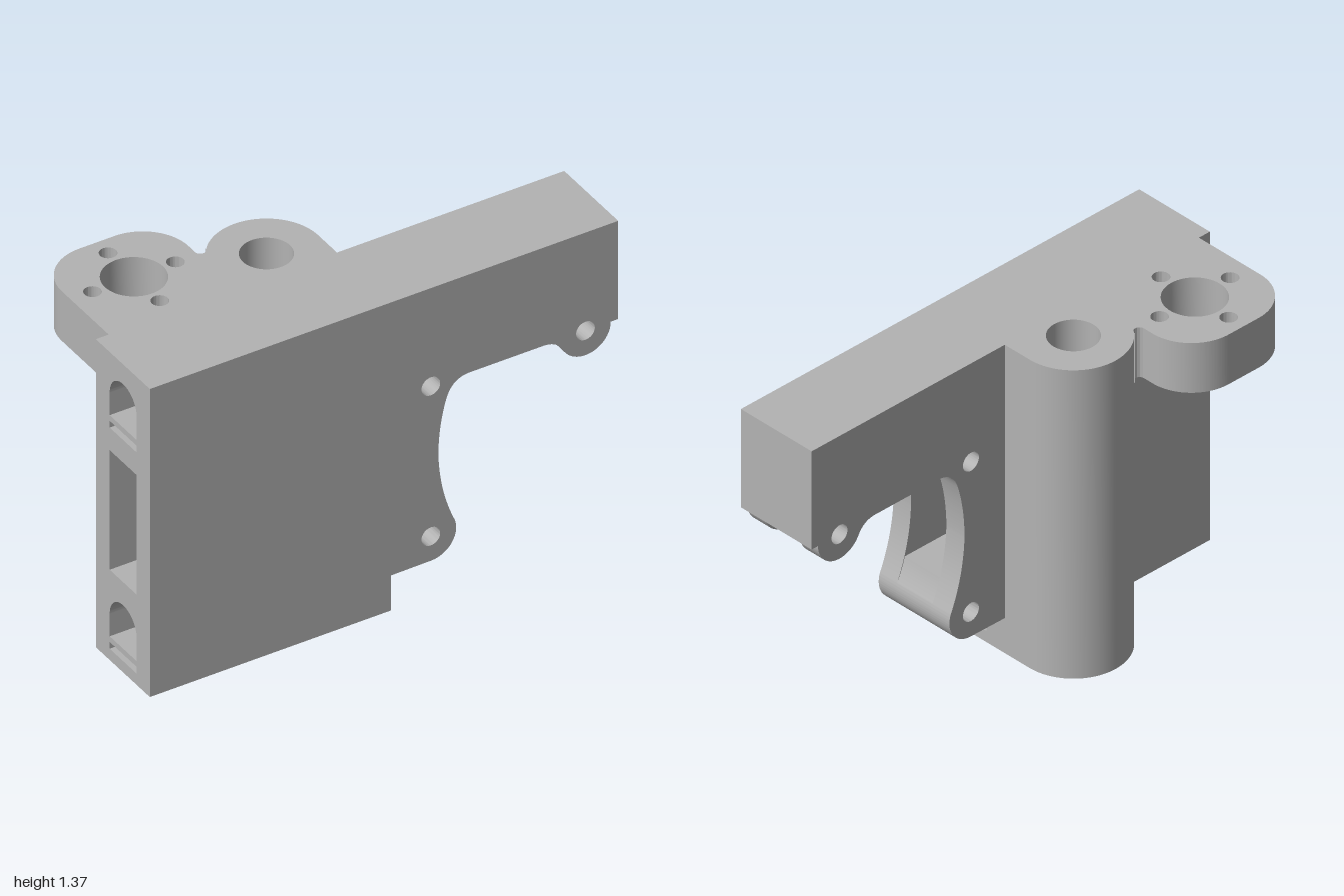
import * as THREE from 'three';
import { toCreasedNormals } from 'three/addons/utils/BufferGeometryUtils.js';

const H = 1.365;                       // overall height
const BACK = 0.07, FRONT = 0.44;       // body depth range
const S0 = 0.165, S1 = 0.35;           // inner channel depth range
const SIDE = 0.03;                     // right end of the body block
const BEAM = 0.93;                     // underside of the upper beam
const PIN = 0.04, LUG = 0.108;         // pin hole and lug radii

function addHole(shape, x, y, r) {
  const p = new THREE.Path();
  p.absarc(x, y, r, 0, Math.PI * 2, true);
  shape.holes.push(p);
}

function polygon(points) {
  return new THREE.Shape(points.map(([x, y]) => new THREE.Vector2(x, y)));
}

// Side plate outline with clamp lugs and the concave cut-out
function plateShape() {
  const s = new THREE.Shape();
  s.moveTo(-1, 0);
  s.lineTo(SIDE, 0);
  s.lineTo(SIDE, 0.155);
  s.lineTo(0.2, 0.157);
  s.absarc(0.2, 0.265, LUG, -Math.PI / 2, 0.35, false);
  s.quadraticCurveTo(0.236, 0.45, 0.232, 0.62);
  s.quadraticCurveTo(0.234, 0.74, 0.263, 0.84);
  s.bezierCurveTo(0.28, 0.9, 0.31, BEAM, 0.37, BEAM);
  s.lineTo(0.68, BEAM);
  s.quadraticCurveTo(0.735, BEAM, 0.762, 0.884);
  s.absarc(0.86, BEAM, LUG, Math.PI * 1.14, Math.PI * 2, false);
  s.lineTo(1, BEAM);
  s.lineTo(1, H);
  s.lineTo(-1, H);
  s.closePath();
  addHole(s, 0.2, 0.265, PIN);
  addHole(s, 0.2, BEAM, PIN);
  addHole(s, 0.86, BEAM, PIN);
  return s;
}

export function createModel() {
  const group = new THREE.Group();
  const grey = new THREE.MeshStandardMaterial({ color: 0xb3b3b3 });
  grey.name = 'grey';

  // Extrudes a shape along x, y or z, starting at a given offset
  function extrude(name, shape, axis, start, end) {
    const raw = new THREE.ExtrudeGeometry(shape, { depth: end - start, bevelEnabled: false, curveSegments: 28 });
    raw.translate(0, 0, start);
    if (axis === 'y') raw.rotateX(-Math.PI / 2);   // shape (x, -z)
    if (axis === 'x') raw.rotateY(Math.PI / 2);    // shape (-z, y)
    const mesh = new THREE.Mesh(toCreasedNormals(raw, 0.5), grey);
    mesh.name = name;
    group.add(mesh);
  }

  // Front and back plates
  extrude('backPlate', plateShape(), 'z', BACK, S0);
  extrude('frontPlate', plateShape(), 'z', S1, FRONT);

  // Core between the plates: strips below an arched tunnel, with the tie slot between
  const strip = (name, y0, y1) =>
    extrude(name, polygon([[-S1, y0], [-S0, y0], [-S0, y1], [-S1, y1]]), 'x', -1, SIDE);
  function tunnel(name, base, bottom, top) {
    strip(name + 'Floor', bottom, base + 0.05);
    strip(name + 'Rib', base + 0.08, base + 0.105);
    const r = (S1 - S0) / 2, mid = -(S0 + S1) / 2, spring = base + 0.205;
    const arch = new THREE.Shape();
    arch.moveTo(-S0, spring);
    arch.lineTo(-S0, top);
    arch.lineTo(-S1, top);
    arch.lineTo(-S1, spring);
    arch.absarc(mid, spring, r, Math.PI, 0, true);
    extrude(name + 'Arch', arch, 'x', -1, SIDE);
  }
  tunnel('lowerTunnel', 0, 0, 0.4);
  tunnel('upperTunnel', 0.98, BEAM, H);

  // Core of the lower lug, below the window
  const lug = new THREE.Shape();
  lug.moveTo(SIDE, 0.155);
  lug.lineTo(0.2, 0.157);
  lug.absarc(0.2, 0.265, LUG, -Math.PI / 2, 0.35, false);
  lug.quadraticCurveTo(0.276, 0.35, 0.263, 0.4);
  lug.lineTo(SIDE, 0.4);
  lug.closePath();
  addHole(lug, 0.2, 0.265, PIN);
  extrude('lowerLugCore', lug, 'z', S0, S1);

  // Core of the upper beam, with half-round pin grooves underneath
  const beam = new THREE.Shape();
  beam.moveTo(SIDE, BEAM);
  for (const x of [0.2, 0.86]) {
    beam.lineTo(x - PIN, BEAM);
    beam.absarc(x, BEAM, PIN, Math.PI, 0, true);
  }
  beam.lineTo(1, BEAM);
  beam.lineTo(1, H);
  beam.lineTo(SIDE, H);
  beam.closePath();
  extrude('beamCore', beam, 'z', S0, S1);

  // Rod column on the back
  const column = new THREE.Shape();
  column.moveTo(-0.41, -BACK);
  column.lineTo(SIDE, -BACK);
  column.lineTo(SIDE, 0.06);
  column.absarc(-0.19, 0.06, 0.22, 0, Math.PI, false);
  column.closePath();
  addHole(column, -0.19, 0.06, 0.1);
  extrude('rodColumn', column, 'y', 0, H);

  // Nut flange with a centre bore and four screw holes
  const flange = new THREE.Shape();
  flange.moveTo(-0.945, -BACK);
  flange.lineTo(-0.36, -BACK);
  flange.lineTo(-0.36, 0.2);
  flange.absarc(-0.3825, 0.205, 0.0225, 0, Math.PI, true);
  flange.lineTo(-0.405, 0.25);
  flange.absarc(-0.6, 0.25, 0.195, 0, Math.PI / 2, false);
  flange.absarc(-0.75, 0.25, 0.195, Math.PI / 2, Math.PI, false);
  flange.closePath();
  addHole(flange, -0.675, 0.19, 0.124);
  for (let i = 0; i < 4; i++) {
    const a = i * Math.PI / 2;
    addHole(flange, -0.675 + 0.177 * Math.cos(a), 0.19 + 0.177 * Math.sin(a), 0.034);
  }
  extrude('nutFlange', flange, 'y', 1.145, H);

  return group;
}
